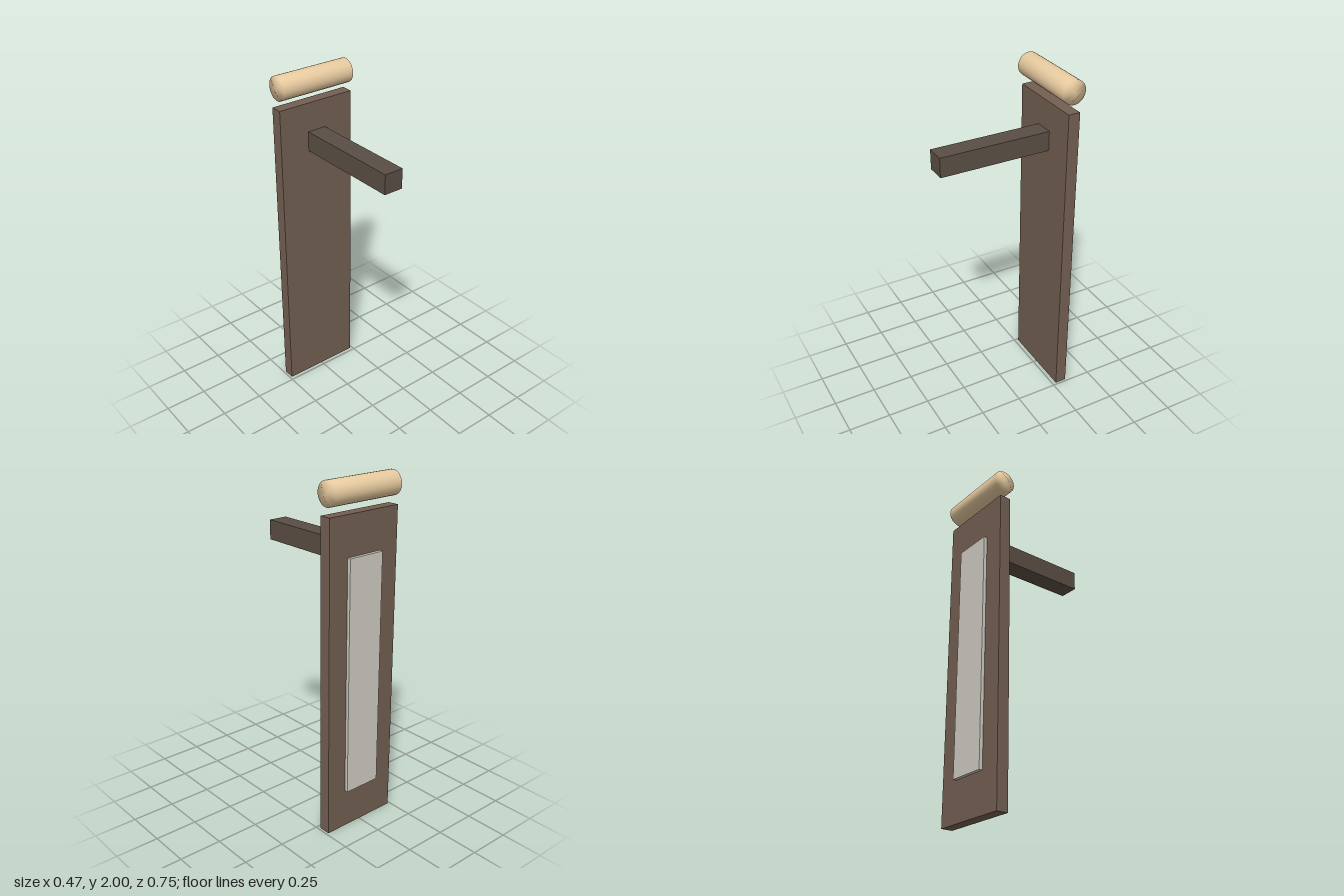
import * as THREE from 'three';
import { mergeVertices } from 'three/addons/utils/BufferGeometryUtils.js';

export function createModel() {
  const group = new THREE.Group();

  function addPart(name, geometry, color, x, y, z) {
    const mesh = new THREE.Mesh(geometry, new THREE.MeshStandardMaterial({ color }));
    mesh.name = name;
    mesh.position.set(x, y, z);
    group.add(mesh);
    return mesh;
  }

  // Tall upright board
  addPart('backBoard', new THREE.BoxGeometry(0.474, 1.82, 0.068), 0x735f51, 0, 0.91, -0.307);

  // Square arm reaching forward
  addPart('arm', new THREE.BoxGeometry(0.114, 0.114, 0.648), 0x5a4e44, 0, 1.597, 0.051);

  // Thin pale panel on the back of the board
  addPart('rearPanel', new THREE.BoxGeometry(0.228, 1.365, 0.02), 0xcfccc2, 0, 0.913, -0.351);

  // Roll floating above the board, with normals shared between side and caps
  let roll = new THREE.CylinderGeometry(0.068, 0.068, 0.454, 32);
  roll.deleteAttribute('normal');
  roll.deleteAttribute('uv');
  roll = mergeVertices(roll);
  roll.computeVertexNormals();
  roll.rotateZ(Math.PI / 2);
  addPart('headRoll', roll, 0xe8cba0, 0, 1.932, -0.307);

  return group;
}
